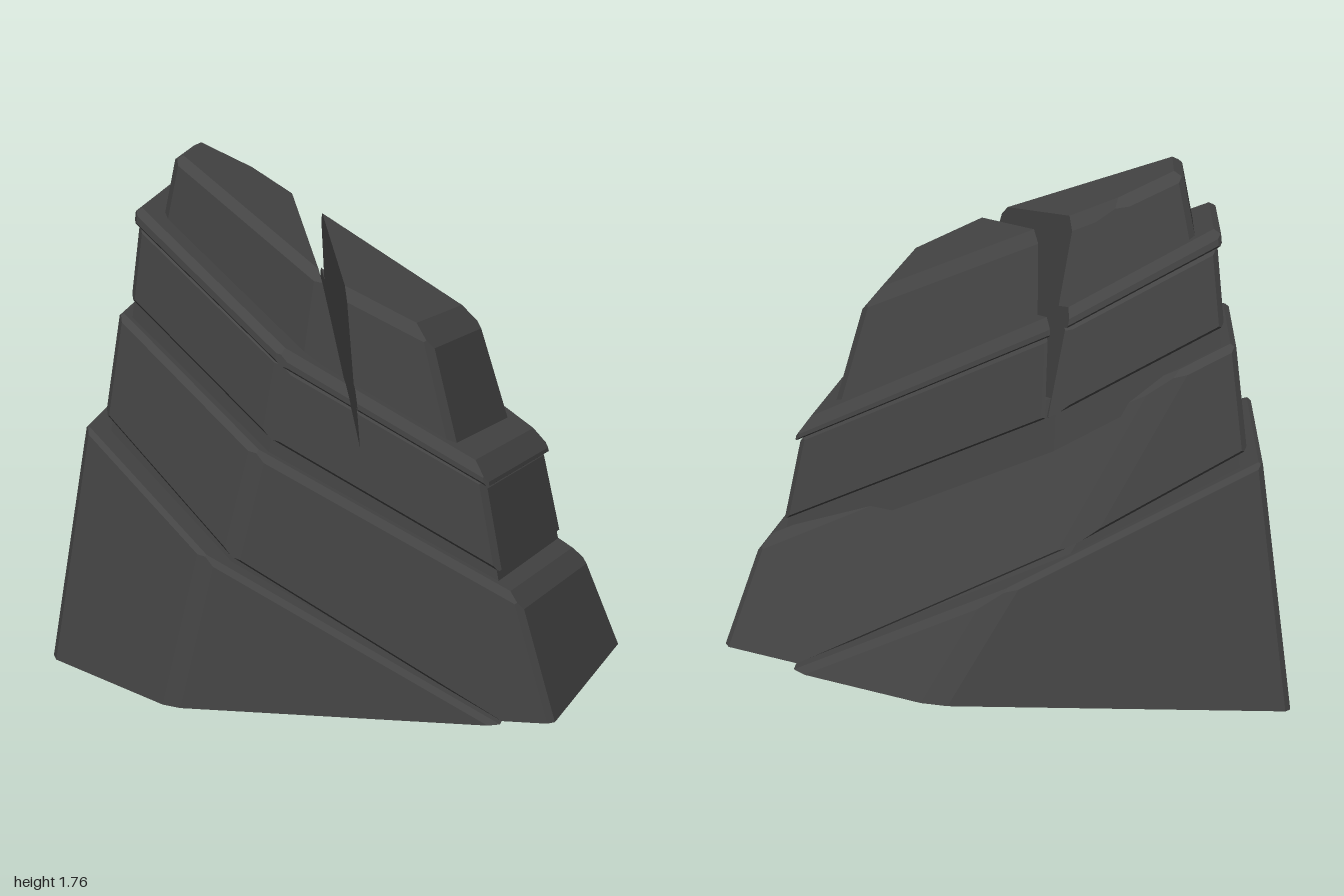
import * as THREE from 'three';
import { ConvexGeometry } from 'three/addons/geometries/ConvexGeometry.js';

const stone = new THREE.MeshStandardMaterial({ color: 0x444444 });
stone.name = 'dark stone';

// Outward directions (x, z) of the six sides: left, back, back right, right, front, front left
const DIRS = [[-0.999, 0.047], [-0.042, -0.999], [0.447, -0.894], [0.992, 0.127], [0.073, 0.997], [-0.568, 0.823]];

// A plane keeps the points where n . p <= d
const plane = (x, y, z, d) => {
  const n = new THREE.Vector3(x, y, z), l = n.length();
  return { n: n.divideScalar(l), d: d / l };
};
// Bevel plane across the edge where two planes meet
const bevel = (a, b, c) => {
  const n = a.n.clone().add(b.n), l = n.length();
  return { n: n.divideScalar(l), d: (a.d + b.d) / l - c };
};

// Solid left over after cutting space by all the planes
function cutSolid(planes) {
  const pts = [], p = new THREE.Vector3(), t = new THREE.Vector3();
  const N = planes.length;
  for (let i = 0; i < N; i++) for (let j = i + 1; j < N; j++) for (let k = j + 1; k < N; k++) {
    const [a, b, c] = [planes[i], planes[j], planes[k]];
    const bc = new THREE.Vector3().crossVectors(b.n, c.n);
    const det = a.n.dot(bc);
    if (Math.abs(det) < 1e-5) continue;
    p.copy(bc).multiplyScalar(a.d);
    p.addScaledVector(t.crossVectors(c.n, a.n), b.d);
    p.addScaledVector(t.crossVectors(a.n, b.n), c.d).divideScalar(det);
    if (planes.every(q => q.n.dot(p) <= q.d + 1e-6) && !pts.some(q => q.distanceTo(p) < 5e-4)) pts.push(p.clone());
  }
  return new ConvexGeometry(pts);
}

// Planes of one tilted layer. sides: [offset at the ground, lean] per side;
// low and high: [height at x = 0, fall along x] of the bedding surfaces
function layerPlanes({ sides, low, high, edge = 0.012, topEdge = edge, grow = 0 }) {
  const walls = sides.map(([d, k], i) => plane(DIRS[i][0], k, DIRS[i][1], d + grow));
  const top = plane(high[1], 1, 0, high[0]);
  const planes = [...walls, top, plane(0, -1, 0, 0)];
  walls.forEach((w, i) => {
    if (edge) planes.push(bevel(w, walls[(i + 1) % 6], edge));
    if (topEdge) planes.push(bevel(w, top, topEdge));
  });
  if (low) {
    const bottom = plane(-low[1], -1, 0, -low[0]);
    planes.push(bottom);
    if (edge) walls.forEach(w => planes.push(bevel(w, bottom, edge * 0.5)));
  }
  return planes;
}

// Two walls of the V-shaped crack
const crack = {
  Left: plane(0.947, 0.21, -0.322, 0.217),
  Right: plane(-0.947, -0.07, 0.322, -0.091),
};

const SIDES = {
  base: [[0.966, 0.13], [0.741, 0.1], [0.76, 0.37], [1.2, 0], [0.709, 0.077], [0.836, 0.2]],
  lower: [[0.91, 0.12], [0.75, 0.15], [0.688, 0.4], [0.958, 0.3], [0.66, 0.065], [0.752, 0.2]],
  middle: [[0.852, 0.1], [0.72, 0.15], [0.566, 0.15], [0.855, 0.2], [0.62, 0.06], [0.66, 0.15]],
  crown: [[0.937, 0.2], [0.746, 0.2], [0.555, 0.22], [0.826, 0.27], [0.6, 0.09], [0.56, 0.15]],
};

export function createModel() {
  const group = new THREE.Group();
  group.name = 'layeredRock';
  const add = (name, planes) => {
    const mesh = new THREE.Mesh(cutSolid(planes), stone);
    mesh.name = name;
    group.add(mesh);
  };
  const addSplit = (name, spec) => {
    for (const side in crack) add(name + side, [...layerPlanes(spec), crack[side]]);
  };

  // Lower layers in one piece
  add('baseLayer', layerPlanes({ sides: SIDES.base, high: [0.38, 0.53] }));
  add('lowerLayer', layerPlanes({ sides: SIDES.lower, low: [0.4, 0.57], high: [0.82, 0.52], topEdge: 0.016 }));

  // Recessed seams between the layers
  add('lowerSeam', layerPlanes({ sides: SIDES.lower, low: [0.3, 0.55], high: [0.5, 0.55], edge: 0, grow: -0.03 }));
  add('middleSeam', layerPlanes({ sides: SIDES.middle, low: [0.75, 0.53], high: [0.93, 0.53], edge: 0, grow: -0.015 }));

  // Upper layers split by the crack
  addSplit('middleLayer', { sides: SIDES.middle, low: [0.87, 0.54], high: [1.145, 0.54] });
  addSplit('ledge', { sides: SIDES.middle, low: [1.14, 0.545], high: [1.2, 0.55], edge: 0.008, topEdge: 0.02, grow: 0.015 });
  addSplit('crown', { sides: SIDES.crown, low: [1.1, 0.54], high: [1.485, 0.48], edge: 0.014, topEdge: 0.024 });
  return group;
}
